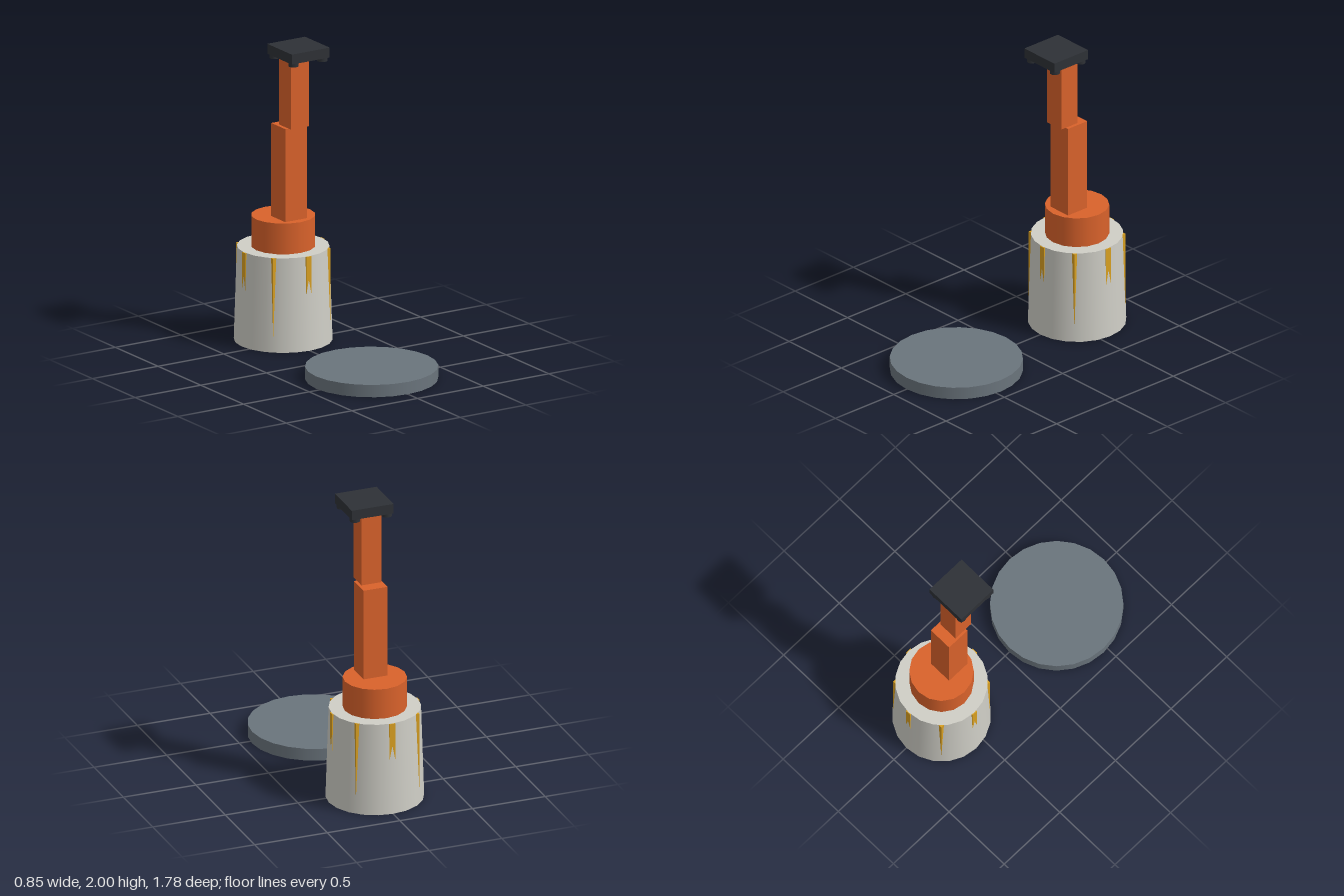
import * as THREE from 'three';

const material = (color) => new THREE.MeshStandardMaterial({ color });

export function createModel() {
  const model = new THREE.Group();
  const orange = material(0xd9622b);
  const slate = material(0x6a747c);
  const black = material(0x2e3136);
  const concrete = material(0xcfcec6);
  const yellow = material(0xd9a021);

  const add = (name, geometry, mat, x, y, z, parent = model) => {
    const mesh = new THREE.Mesh(geometry, mat);
    mesh.name = name;
    mesh.position.set(x, y, z);
    parent.add(mesh);
    return mesh;
  };
  // Cylinder and box placed by their bottom and top heights
  const drum = (name, mat, rTop, rBottom, sides, y0, y1, x, z, parent) =>
    add(name, new THREE.CylinderGeometry(rTop, rBottom, y1 - y0, sides), mat, x, (y0 + y1) / 2, z, parent);
  const block = (name, mat, width, y0, y1, x, z, parent) =>
    add(name, new THREE.BoxGeometry(width, y1 - y0, width), mat, x, (y0 + y1) / 2, z, parent);

  // Round work platform in front
  drum('platform', slate, 0.426, 0.426, 24, 0, 0.082, 0, 0.463);

  // Tapered pedestal with upright, square marker bars sunk into its wall
  const zBase = -0.572;
  drum('pedestal', concrete, 0.296, 0.316, 20, 0.001, 0.625, 0, zBase);
  const bars = new THREE.Group();
  bars.name = 'markerBars';
  model.add(bars);
  for (let i = 0; i < 8; i++) {
    const a = (i * Math.PI) / 4;
    block('markerBar', yellow, 0.04, 0, 0.624, Math.sin(a) * 0.281, zBase + Math.cos(a) * 0.281, bars);
  }

  // Turntable and two stepped arm segments
  drum('turntable', orange, 0.206, 0.206, 16, 0.625, 0.83, 0, zBase);
  block('lowerArm', orange, 0.165, 0.83, 1.45, 0, -0.503);
  block('upperArm', orange, 0.138, 1.456, 1.935, 0, -0.446);

  // Gripper plate with four suction cups underneath
  const gripper = new THREE.Group();
  gripper.name = 'gripper';
  gripper.position.z = -0.393;
  model.add(gripper);
  add('gripperPlate', new THREE.BoxGeometry(0.288, 0.066, 0.288), black, 0, 1.967, 0, gripper);
  for (const x of [-0.11, 0.11]) {
    for (const z of [-0.11, 0.11]) {
      drum('suctionCup', black, 0.033, 0.033, 12, 1.91, 1.936, x, z, gripper);
    }
  }
  return model;
}
